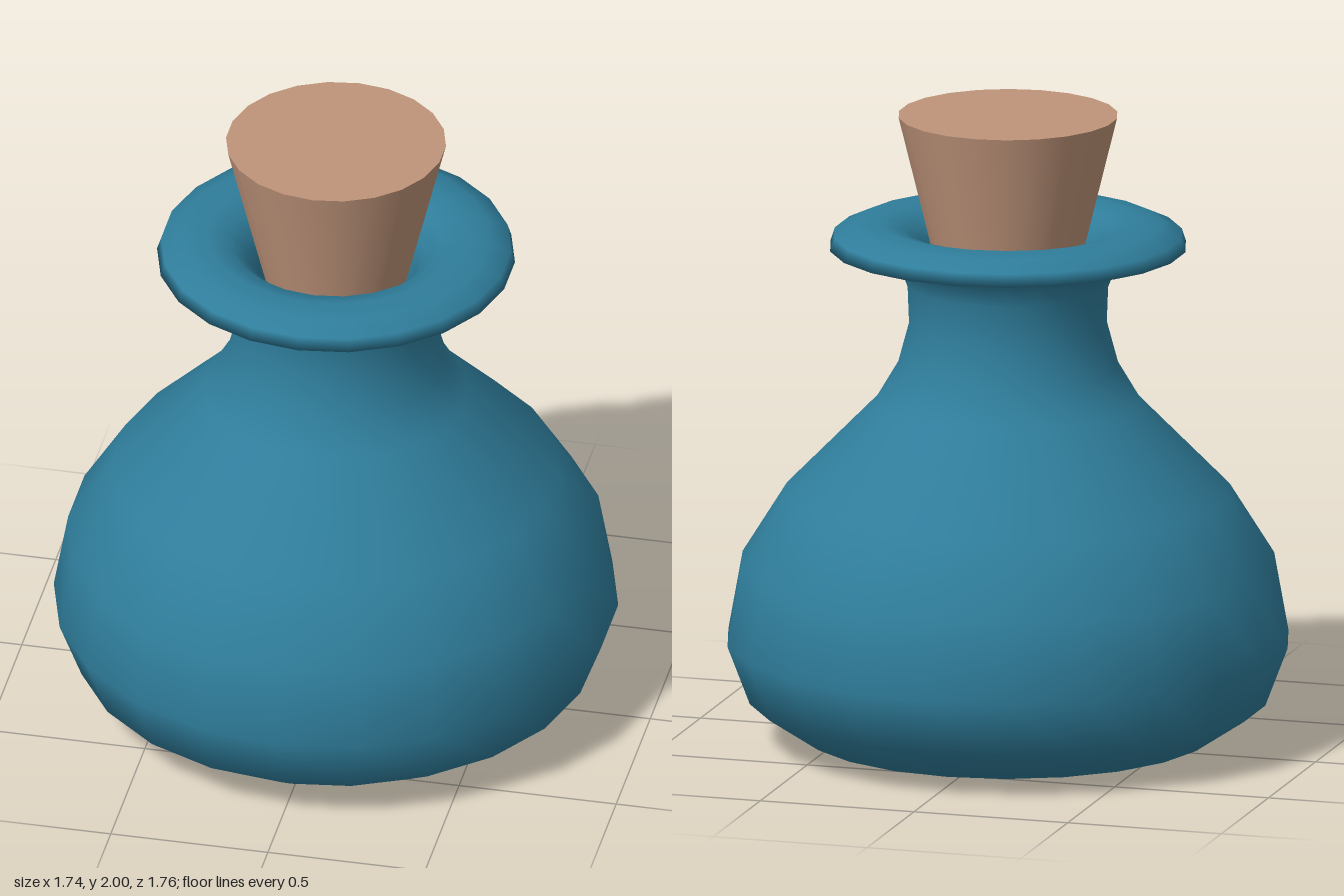
import * as THREE from 'three';

const SIDES = 22;

export function createModel() {
  const model = new THREE.Group();
  const glass = new THREE.MeshStandardMaterial({ color: 0x2f7d9b, side: THREE.DoubleSide });
  const corkMaterial = new THREE.MeshStandardMaterial({ color: 0xbf947a });

  // Flask: base, belly, neck, flared rim and the funnel down to the stopper
  const profile = [
    [0, 0], [0.49, 0.005], [0.645, 0.03], [0.81, 0.14], [0.88, 0.325],
    [0.835, 0.575], [0.695, 0.8], [0.41, 1.09], [0.345, 1.2], [0.31, 1.33],
    [0.315, 1.46], [0.345, 1.54], [0.41, 1.57], [0.558, 1.58],
    [0.545, 1.62], [0.48, 1.65], [0.4, 1.66], [0.33, 1.64], [0.275, 1.59],
    [0.245, 1.52], [0.24, 1.4],
  ].map(([r, y]) => new THREE.Vector2(r, y));
  const flask = new THREE.Mesh(new THREE.LatheGeometry(profile, SIDES), glass);
  flask.name = 'flask';
  model.add(flask);

  // Tapered stopper, its lower end sunk into the neck
  const top = 2, bottom = 1.42;
  const stopper = new THREE.Mesh(
    new THREE.CylinderGeometry(0.343, 0.2, top - bottom, SIDES), corkMaterial);
  stopper.name = 'stopper';
  stopper.position.y = (top + bottom) / 2;
  model.add(stopper);

  return model;
}
